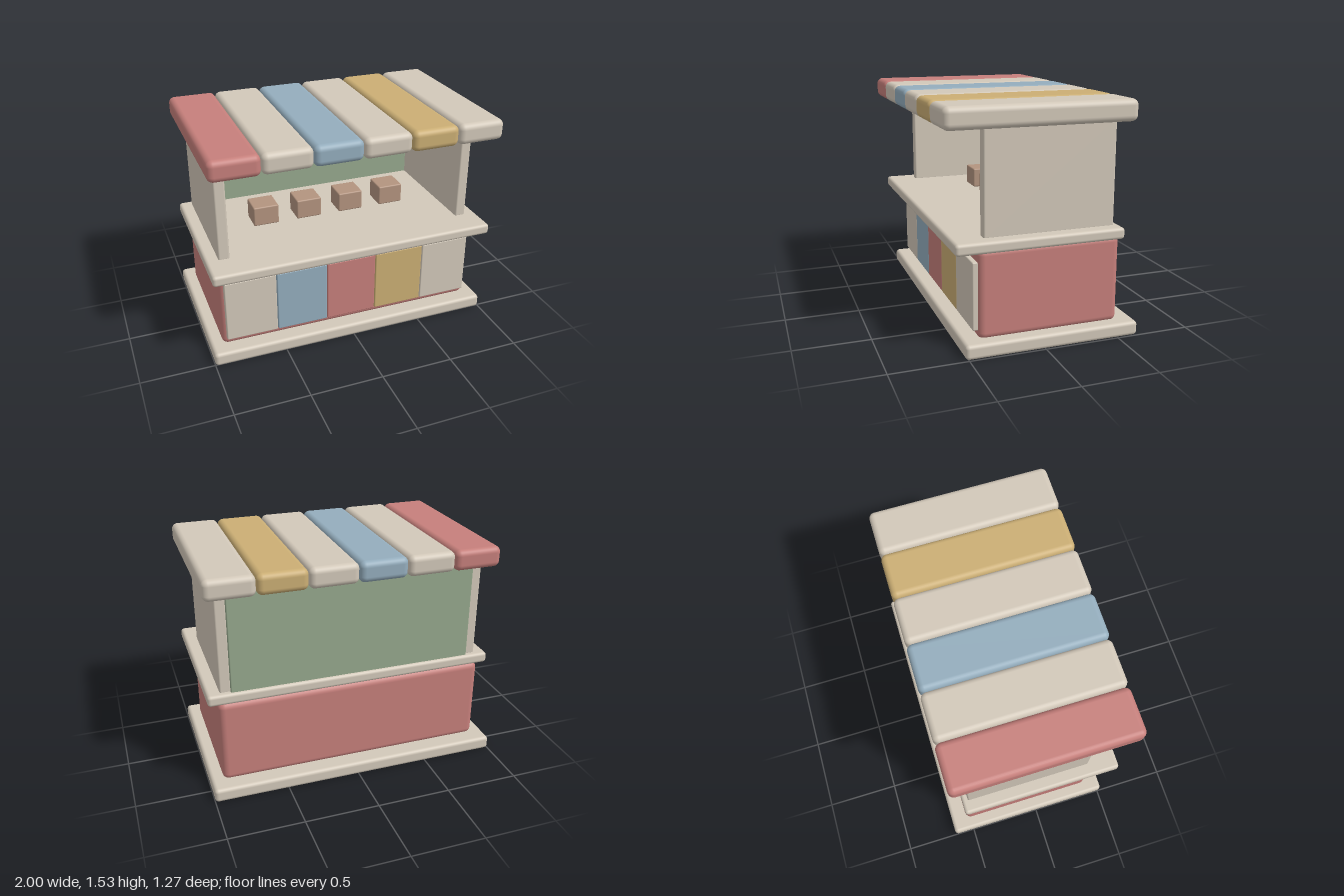
import * as THREE from 'three';
import { RoundedBoxGeometry } from 'three/addons/geometries/RoundedBoxGeometry.js';

const material = (color) => new THREE.MeshStandardMaterial({ color });
const cream = material(0xd2c8b9);
const red = material(0xc67f7b);
const blue = material(0x94adbd);
const gold = material(0xcbae74);
const green = material(0x96a88d);
const brown = material(0xb3947f);

// Rounded block given by its extents along each axis
function block(name, mat, [x0, x1], [y0, y1], [z0, z1], radius) {
  const geometry = new RoundedBoxGeometry(x1 - x0, y1 - y0, z1 - z0, 4, radius);
  const mesh = new THREE.Mesh(geometry, mat);
  mesh.position.set((x0 + x1) / 2, (y0 + y1) / 2, (z0 + z1) / 2);
  mesh.name = name;
  return mesh;
}

export function createModel() {
  const stall = new THREE.Group();
  stall.name = 'marketStall';

  // Plinth, cabinet and counter top
  stall.add(
    block('base', cream, [-1, 1], [0, 0.095], [-0.64, 0.52], 0.025),
    block('cabinet', red, [-0.92, 0.92], [0.08, 0.665], [-0.53, 0.415], 0.045),
    block('counter', cream, [-0.985, 0.985], [0.655, 0.73], [-0.53, 0.575], 0.022)
  );

  // Coloured panels along the cabinet front
  const panels = new THREE.Group();
  panels.name = 'frontPanels';
  [cream, blue, red, gold, cream].forEach((mat, i) => {
    const x = (i - 2) * 0.358;
    panels.add(block('frontPanel', mat, [x - 0.177, x + 0.177], [0.14, 0.58], [0.395, 0.445], 0.008));
  });
  stall.add(panels);

  // Goods on the counter
  const goods = new THREE.Group();
  goods.name = 'goods';
  for (let i = 0; i < 4; i++) {
    const x = (i - 1.5) * 0.315;
    goods.add(block('crate', brown, [x - 0.09, x + 0.09], [0.73, 0.87], [-0.145, 0.025], 0.01));
  }
  stall.add(goods);

  // Side walls and back wall
  for (const side of [-1, 1]) {
    const x = side * 0.8625;
    stall.add(block(side > 0 ? 'leftWall' : 'rightWall', cream,
      [x - 0.0375, x + 0.0375], [0.72, 1.42], [-0.49, 0.375], 0.012));
  }
  stall.add(block('backWall', green, [-0.83, 0.83], [0.72, 1.42], [-0.51, -0.46], 0.008));

  // Striped roof slabs
  const roof = new THREE.Group();
  roof.name = 'roof';
  [red, cream, blue, cream, gold, cream].forEach((mat, i) => {
    const x = (i - 2.5) * 0.326;
    roof.add(block('roofSlab', mat, [x - 0.1625, x + 0.1625], [1.39, 1.53], [-0.6, 0.635], 0.04));
  });
  stall.add(roof);

  return stall;
}
